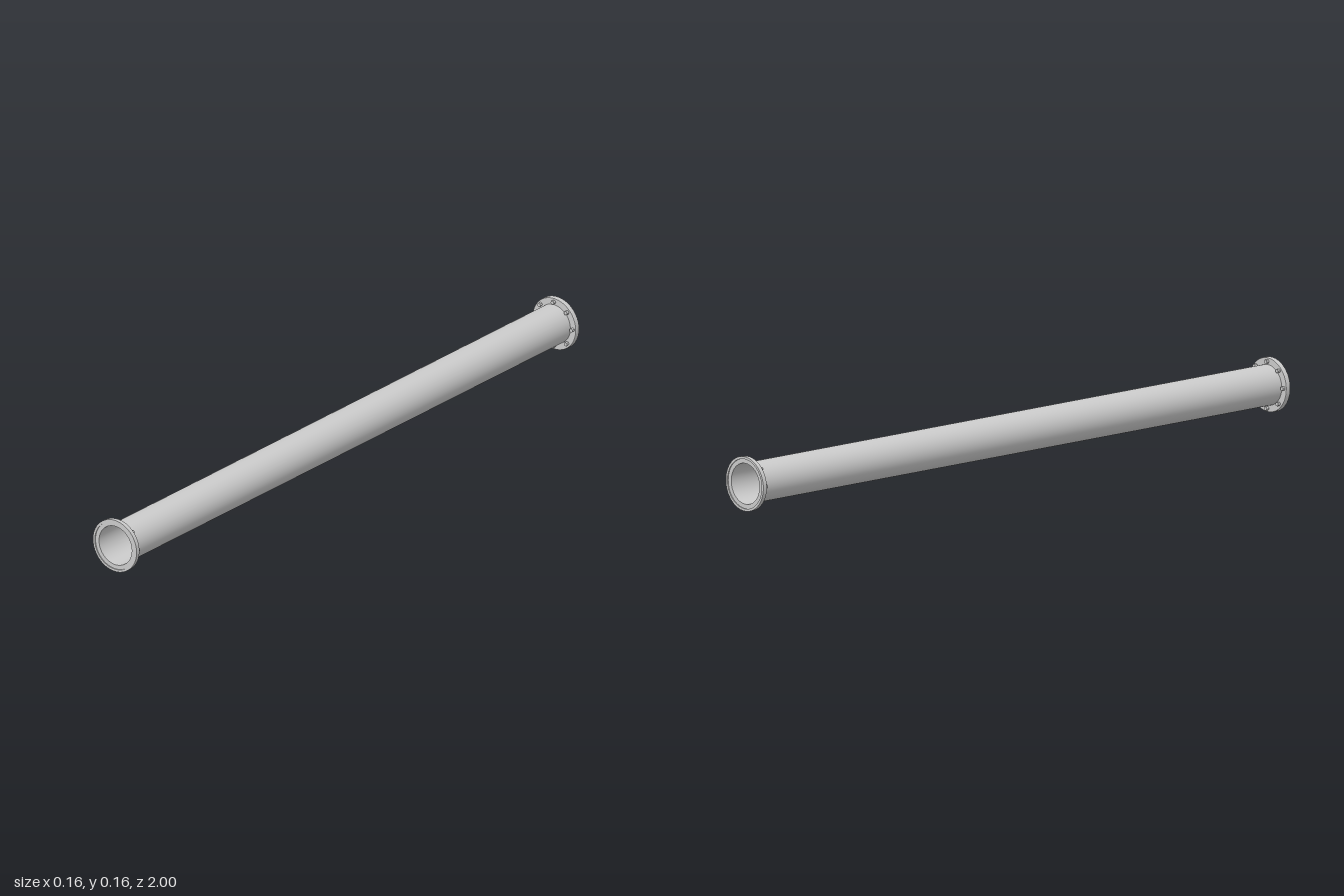
import * as THREE from 'three';

const mat = new THREE.MeshStandardMaterial({ color: 0xcccccc });
const thin = new THREE.MeshStandardMaterial({ color: 0xcccccc, side: THREE.DoubleSide });
const CENTER_Y = 0.078, PIPE_R = 0.058, FLANGE_R = 0.078, BOLTS = 8;

// Lathe around y with sharp edges: one strip per profile segment
function ring(name, points) {
  const group = new THREE.Group();
  group.name = name;
  for (let i = 0; i < points.length - 1; i++) {
    const pair = [points[i], points[i + 1]].map(([r, y]) => new THREE.Vector2(r, y));
    const strip = new THREE.Mesh(new THREE.LatheGeometry(pair, 64), thin);
    strip.name = name + 'Face';
    group.add(strip);
  }
  return group;
}

// Flange with a shallow stepped face and a circle of bolts behind it; outer face at y = 1
function createEnd(name) {
  const end = new THREE.Group();
  end.name = name;
  end.add(ring('flange', [
    [PIPE_R, 0.986], [0.077, 0.986], [FLANGE_R, 0.988], [FLANGE_R, 1],
    [0.071, 1], [0.071, 0.997], [0.0585, 0.997], [PIPE_R, 0.986],
  ]));
  for (let i = 0; i < BOLTS; i++) {
    const a = (i / BOLTS) * Math.PI * 2;
    const bolt = new THREE.Mesh(new THREE.CylinderGeometry(0.006, 0.006, 0.01, 6).toNonIndexed(), mat);
    bolt.geometry.computeVertexNormals();
    bolt.name = 'bolt';
    bolt.position.set(Math.cos(a) * 0.067, 0.982, Math.sin(a) * 0.067);
    bolt.rotation.y = -a;
    end.add(bolt);
  }
  return end;
}

export function createModel() {
  const model = new THREE.Group();
  model.name = 'flangedPipe';

  // Long open tube
  const tube = new THREE.Mesh(new THREE.CylinderGeometry(PIPE_R, PIPE_R, 1.99, 64, 1, true), thin);
  tube.name = 'tube';
  tube.rotation.x = Math.PI / 2;
  tube.position.y = CENTER_Y;
  model.add(tube);

  // Matching flange at each end
  for (const s of [1, -1]) {
    const end = createEnd(s > 0 ? 'frontEnd' : 'backEnd');
    end.rotation.x = (s * Math.PI) / 2;
    end.position.y = CENTER_Y;
    model.add(end);
  }
  return model;
}
